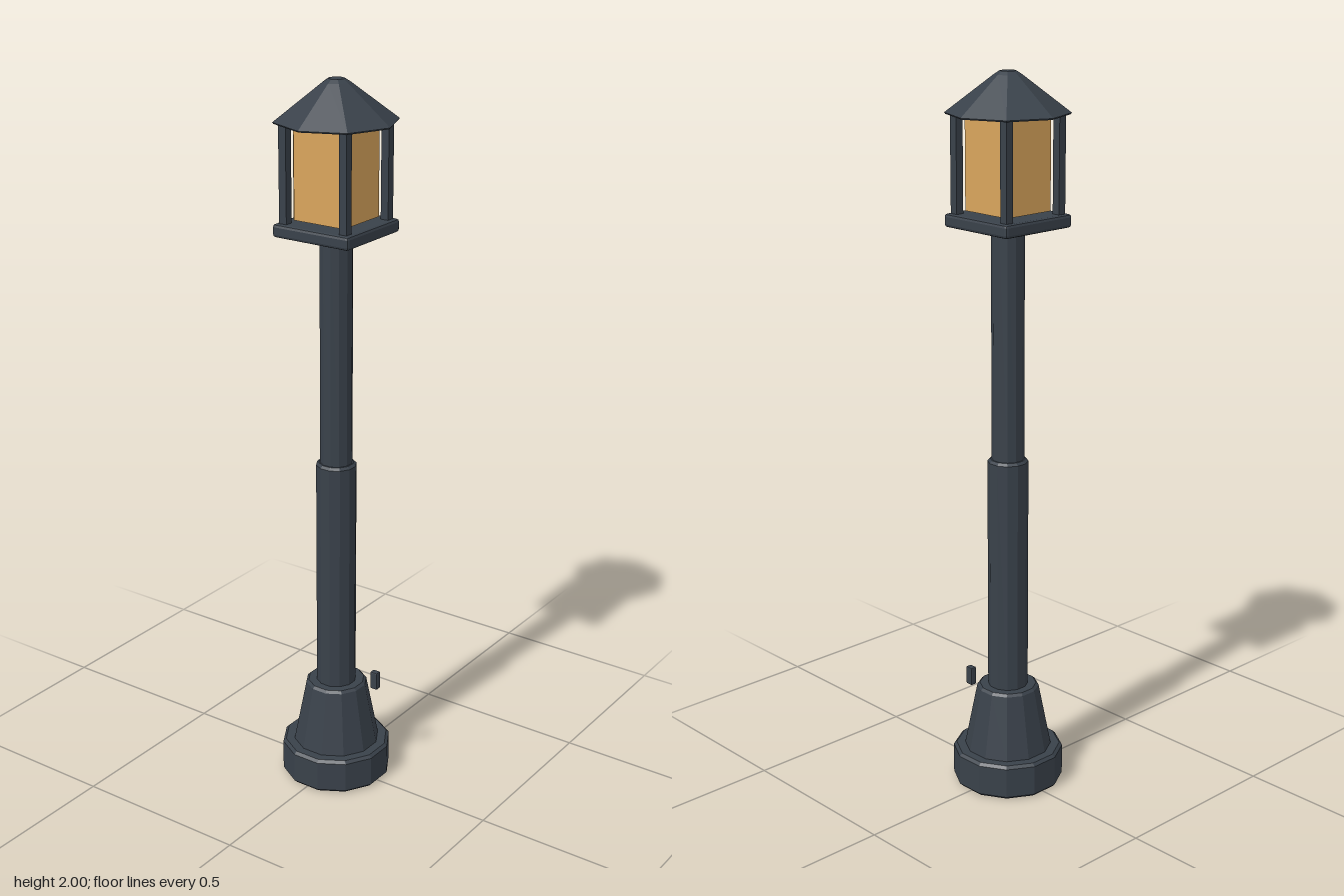
import * as THREE from 'three';
import { RoundedBoxGeometry } from 'three/addons/geometries/RoundedBoxGeometry.js';

export function createModel() {
  const iron = new THREE.MeshStandardMaterial({ color: 0x39414a, flatShading: true });
  iron.name = 'dark iron';
  const amber = new THREE.MeshStandardMaterial({ color: 0xd9a55c, flatShading: true });
  amber.name = 'amber glass';

  const group = new THREE.Group();
  group.name = 'lampPost';

  function add(name, geometry, material, x = 0, y = 0, z = 0, parent = group) {
    const mesh = new THREE.Mesh(geometry, material);
    mesh.name = name;
    mesh.position.set(x, y, z);
    parent.add(mesh);
    return mesh;
  }

  // Faceted solid turned from [radius, height] pairs
  function turned(name, points, sides, start) {
    const profile = points.map(([r, y]) => new THREE.Vector2(r, y));
    return add(name, new THREE.LatheGeometry(profile, sides, start), iron);
  }

  // Twelve-sided section with chamfered rims; radii are measured to the flats
  function section(name, rBottom, rTop, y0, y1, c) {
    const k = 1 / Math.cos(Math.PI / 12);
    return turned(name, [
      [0, y0], [(rBottom - c) * k, y0], [rBottom * k, y0 + c],
      [rTop * k, y1 - c], [(rTop - c) * k, y1], [0, y1],
    ], 12, Math.PI / 12);
  }

  // Foot and two-stage pole
  section('base', 0.15, 0.15, 0, 0.102, 0.008);
  section('taperedPlinth', 0.118, 0.084, 0.095, 0.29, 0.007);
  section('lowerPole', 0.054, 0.054, 0.28, 0.96, 0.007);
  section('upperPole', 0.043, 0.043, 0.95, 1.6, 0.003);

  // Small access latch at the front of the plinth
  add('latch', new RoundedBoxGeometry(0.018, 0.053, 0.023, 1, 0.003), iron, 0.048, 0.293, 0.102);

  // Lantern floor
  add('lanternFloor', new RoundedBoxGeometry(0.238, 0.036, 0.238, 1, 0.008), iron, 0, 1.614, 0);

  // Four corner posts
  for (const sx of [-1, 1]) {
    for (const sz of [-1, 1]) {
      add('cornerPost', new THREE.BoxGeometry(0.023, 0.27, 0.023), iron, sx * 0.094, 1.76, sz * 0.094);
    }
  }

  // Four glass panes
  for (let i = 0; i < 4; i++) {
    const side = new THREE.Group();
    side.name = 'lanternSide';
    side.rotation.y = i * Math.PI / 2;
    group.add(side);
    add('glassPane', new THREE.BoxGeometry(0.152, 0.25, 0.008), amber, 0, 1.765, 0.077, side);
  }

  // Eight-sided roof with a chamfered cap
  turned('roof', [
    [0, 1.89], [0.161, 1.89], [0.164, 1.894],
    [0.036, 1.991], [0.022, 2.0], [0, 2.0],
  ], 8, 0);

  return group;
}
